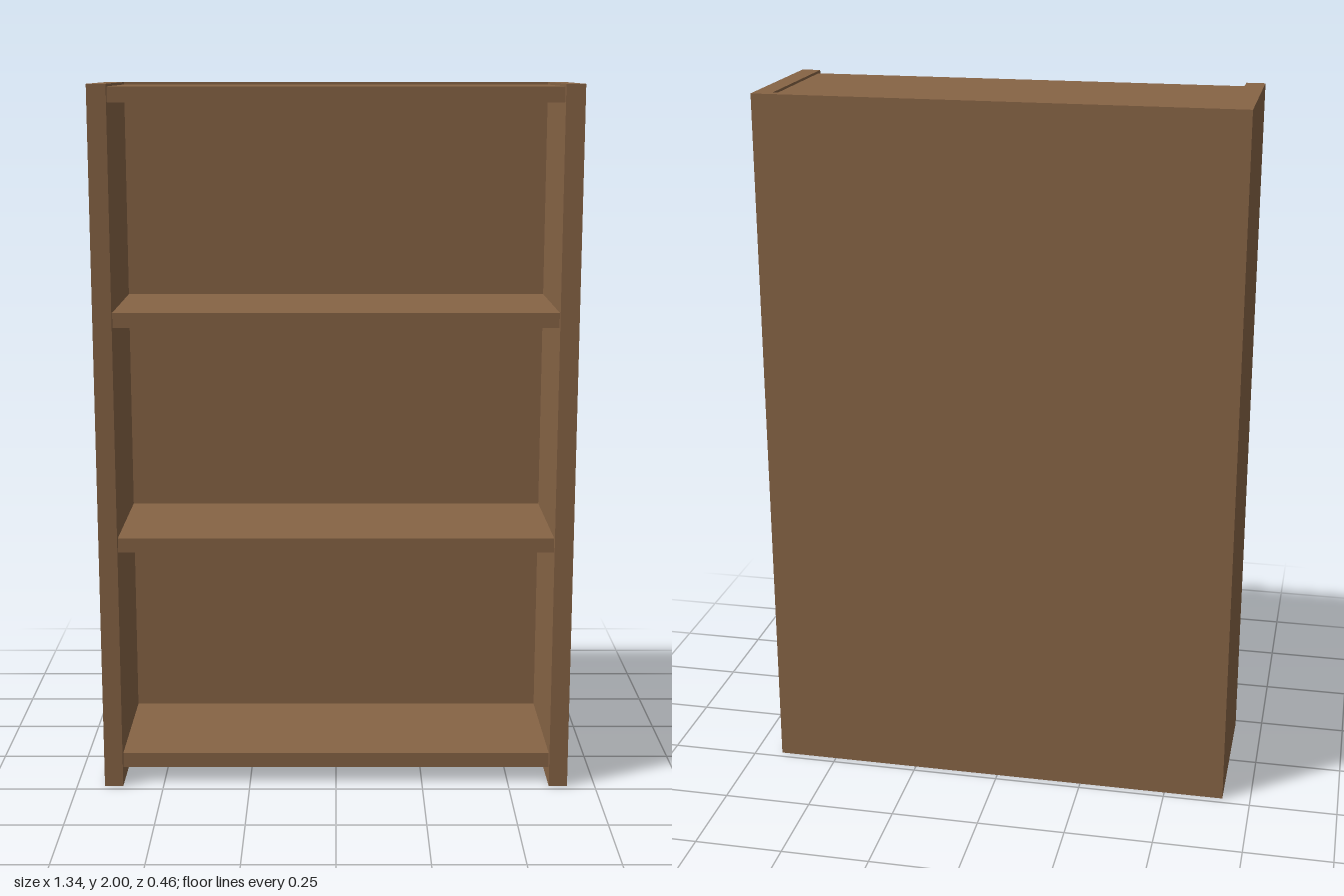
import * as THREE from 'three';

const HEIGHT = 2, HALF_W = 0.67, HALF_D = 0.228;
const INNER_W = 0.617, BACK_Z = -0.2, SHELF_FRONT = 0.21, SHELF_T = 0.042;

export function createModel() {
  const model = new THREE.Group();
  model.name = 'bookcase';
  const wood = new THREE.MeshStandardMaterial({ color: 0x876445 });

  // U-shaped carcass: both sides and the back in one piece (plan drawn as x, -z)
  const plan = new THREE.Shape([
    [-HALF_W, -HALF_D], [-INNER_W, -HALF_D], [-INNER_W, -BACK_Z], [INNER_W, -BACK_Z],
    [INNER_W, -HALF_D], [HALF_W, -HALF_D], [HALF_W, HALF_D], [-HALF_W, HALF_D],
  ].map(([x, y]) => new THREE.Vector2(x, y)));
  const carcassGeometry = new THREE.ExtrudeGeometry(plan, { depth: HEIGHT, bevelEnabled: false });
  carcassGeometry.rotateX(-Math.PI / 2);
  const carcass = new THREE.Mesh(carcassGeometry, wood);
  carcass.name = 'sidesAndBack';
  model.add(carcass);

  // Shelves, slightly recessed from the front; the top board sits just below the rim
  const shelfGeometry = new THREE.BoxGeometry(2 * INNER_W, SHELF_T, SHELF_FRONT - BACK_Z);
  const shelves = { bottomShelf: 0.073, lowerShelf: 0.717, upperShelf: 1.359, topBoard: 1.972 };
  for (const [name, y] of Object.entries(shelves)) {
    const shelf = new THREE.Mesh(shelfGeometry, wood);
    shelf.name = name;
    shelf.position.set(0, y, (SHELF_FRONT + BACK_Z) / 2);
    model.add(shelf);
  }
  return model;
}
